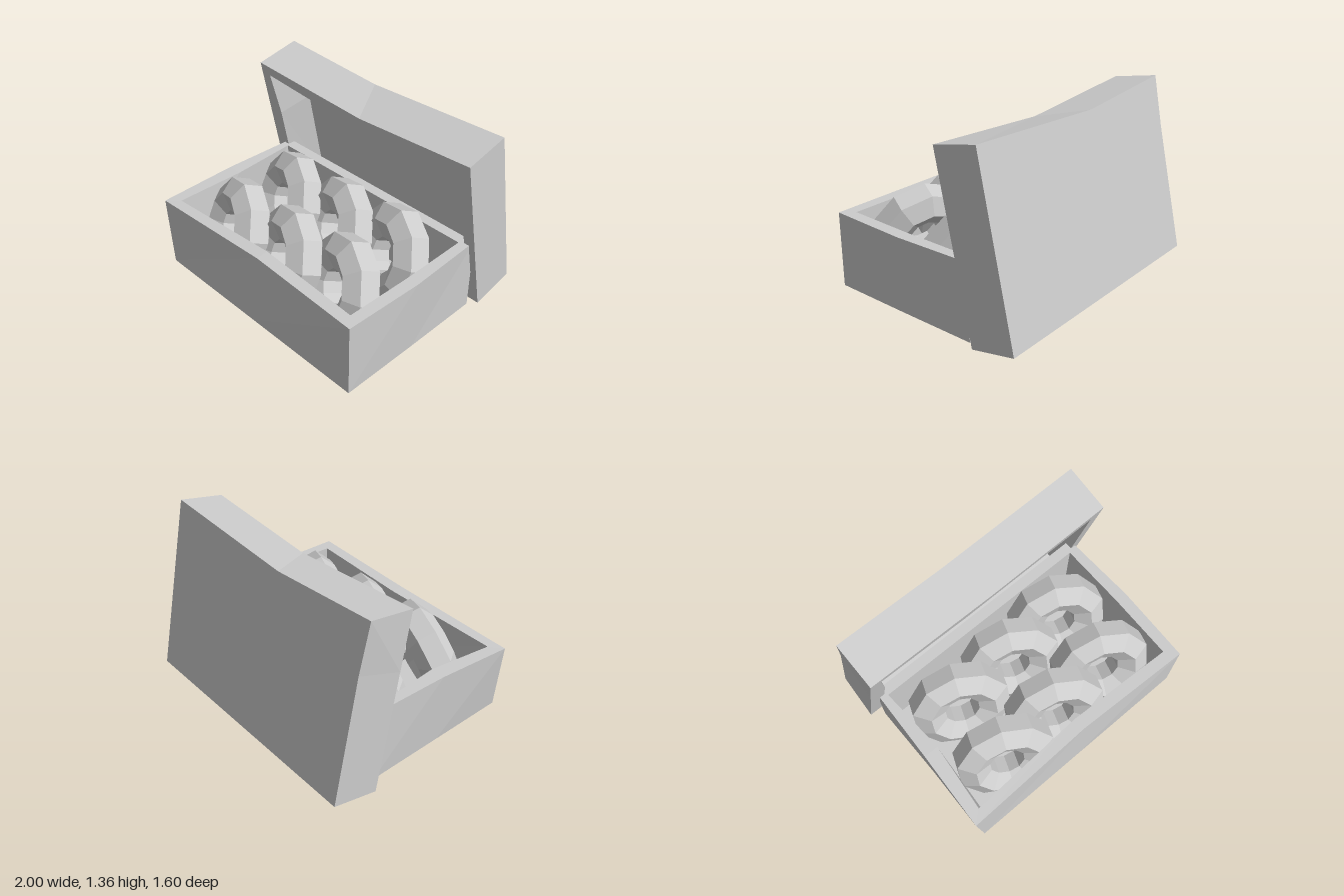
import * as THREE from 'three';

// Open tray skinned through successive 8-point rings, capped at both ends.
// Rings run counter-clockwise as seen from the open side.
function trayGeometry(rings) {
  const pos = [];
  const tri = (a, b, c) => pos.push(...a, ...b, ...c);
  const n = rings[0].length;
  for (let r = 0; r < rings.length - 1; r++) {
    for (let i = 0; i < n; i++) {
      const j = (i + 1) % n;
      const [a, b] = [rings[r], rings[r + 1]];
      tri(a[i], a[j], b[j]);
      tri(a[i], b[j], b[i]);
    }
  }
  const centre = (ring) => [0, 1, 2].map((k) => ring.reduce((s, p) => s + p[k], 0) / n);
  const first = rings[0], last = rings[rings.length - 1];
  const c0 = centre(first), c1 = centre(last);
  for (let i = 0; i < n; i++) {
    const j = (i + 1) % n;
    tri(c0, first[j], first[i]);
    tri(c1, last[i], last[j]);
  }
  const g = new THREE.BufferGeometry();
  g.setAttribute('position', new THREE.Float32BufferAttribute(pos, 3));
  g.computeVertexNormals();
  return g;
}

export function createModel() {
  const group = new THREE.Group();
  const grey = new THREE.MeshStandardMaterial({ color: 0xcccccc, flatShading: true });
  grey.name = 'plain grey';

  const add = (name, geometry, parent = group) => {
    const mesh = new THREE.Mesh(geometry, grey);
    mesh.name = name;
    parent.add(mesh);
    return mesh;
  };

  // Box: base, outer rim, inner rim, floor (points are x, z at a height)
  const flat = (y, pts) => pts.map(([x, z]) => [x, y, z]);
  const base = flat(0, [[0, 0.8], [0.945, 0.8], [0.95, 0.2], [0.95, -0.4],
    [0, -0.4], [-0.91, -0.4], [-0.91, 0.2], [-0.91, 0.8]]);
  const rim = flat(0.565, [[0.05, 0.765], [0.945, 0.8], [0.97, 0.2], [0.95, -0.4],
    [0, -0.4], [-0.905, -0.4], [-0.93, 0.2], [-0.96, 0.79]]);
  rim[7][1] = 0.53; // sagging front corner
  const inner = flat(0.565, [[0.04, 0.67], [0.865, 0.71], [0.88, 0.2], [0.88, -0.32],
    [0, -0.32], [-0.85, -0.32], [-0.82, 0.2], [-0.87, 0.71]]);
  inner[7][1] = 0.535;
  const floor = flat(0.05, [[0.03, 0.7], [0.86, 0.71], [0.87, 0.2], [0.87, -0.32],
    [0, -0.32], [-0.82, -0.32], [-0.82, 0.2], [-0.82, 0.71]]);
  add('box', trayGeometry([base, rim, inner, floor]));

  // Lid: same construction, opening to the front and leaning back on its edge
  const upright = (z, pts) => pts.map(([x, y]) => [x, y, z]);
  const lidBack = upright(0, [[0, 0], [1, 0], [1, 0.66], [1, 1.322],
    [-0.13, 1.262], [-0.97, 1.322], [-0.96, 0.95], [-0.98, 0]]);
  const lidRim = upright(0.345, [[0, 0], [1, 0], [1, 0.66], [1, 1.322],
    [0.04, 1.262], [-0.97, 1.33], [-0.98, 0.9], [-1, 0]]);
  const lidInner = upright(0.345, [[0, 0.085], [0.91, 0.085], [0.91, 0.66], [0.91, 1.235],
    [-0.18, 1.175], [-0.89, 1.245], [-0.86, 0.9], [-0.875, 0.085]]);
  const lidFloor = upright(0.07, [[0, 0.085], [0.91, 0.085], [0.91, 0.66], [0.91, 1.18],
    [-0.15, 1.12], [-0.84, 1.165], [-0.83, 0.9], [-0.85, 0.085]]);
  const lid = add('lid', trayGeometry([lidBack, lidRim, lidInner, lidFloor]));
  lid.position.set(0, 0.072, -0.8);
  lid.rotation.x = 0.21;

  // Rings: six-sided tube turned in ten steps, outer facet flat
  const profile = [];
  for (let i = 0; i <= 6; i++) {
    const a = -Math.PI / 6 + (i * Math.PI) / 3;
    profile.push(new THREE.Vector2(0.25 + 0.14 * Math.cos(a), 0.14 * Math.sin(a)));
  }
  const ringGeometry = new THREE.LatheGeometry(profile, 10);

  // Two rows of three, tipped up on edge and turned slightly
  const rows = [[0.51, 0.48, 0.43], [0.01, -0.01, -0.05]];
  rows.forEach((zs, r) => zs.forEach((z, i) => {
    const ring = add(`${r ? 'back' : 'front'}Doughnut${i + 1}`, ringGeometry);
    ring.position.set([-0.47, 0.03, 0.51][i], 0.39, z);
    ring.rotation.order = 'YXZ';
    ring.rotation.set(1.21, -0.38, 0);
  }));

  return group;
}
